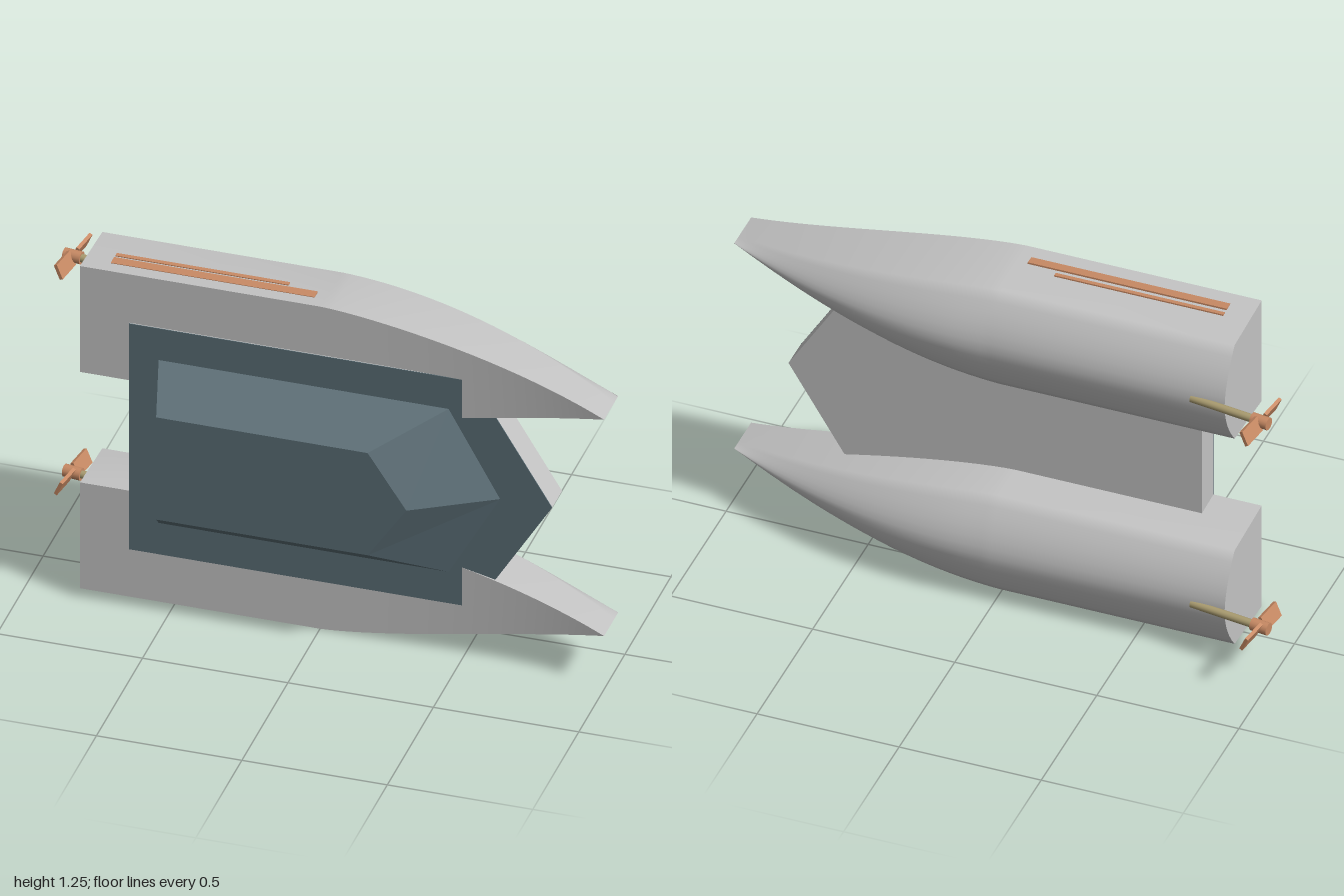
import * as THREE from 'three';
import { mergeGeometries } from 'three/addons/utils/BufferGeometryUtils.js';

const MID = 0.6265;      // mirror plane between the two hulls
const HULL = 0.419;      // hull centre distance from that plane

const mat = (name, color) => {
  const m = new THREE.MeshStandardMaterial({ color });
  m.name = name;
  return m;
};

const mesh = (name, geometry, material) => {
  const m = new THREE.Mesh(geometry, material);
  m.name = name;
  return m;
};

function indexed(points, index) {
  const g = new THREE.BufferGeometry();
  g.setAttribute('position', new THREE.Float32BufferAttribute(points.flat(), 3));
  g.setIndex(index);
  g.computeVertexNormals();
  return g;
}

// Hull cross-section at x: gunwale, chine, rounded bottom, chine, gunwale
function section(x) {
  const t = Math.max(0, x), s = Math.max(0, (x - 0.1) / 0.9);
  const half = 0.205 * (1 - Math.pow(t, 1.4));
  const deck = 0.153 + 0.072 * Math.pow(t, 3.5);
  const keel = -0.181 + 0.253 * s * s;
  const chine = keel + 0.27 * (deck - keel);
  const pts = [[x, half, deck]];
  for (let k = 6; k >= -6; k--) {
    const u = k / 6;
    pts.push([x, half * 0.93 * u, keel + (chine - keel) * Math.pow(Math.abs(u), 1.8)]);
  }
  pts.push([x, -half, deck]);
  return pts;
}

function hullGeometry() {
  const xs = [-0.825, -0.4];
  for (let i = 0; i <= 28; i++) xs.push(i / 28);
  const rows = xs.map(section), n = rows[0].length;
  const skin = [], deck = [], transom = [];
  for (let i = 0; i < rows.length - 1; i++) {
    for (let j = 0; j < n - 1; j++) {
      const a = i * n + j, b = a + n;
      skin.push(a, b, a + 1, b, b + 1, a + 1);
    }
    const d = i * 2;
    deck.push(d + 1, d + 3, d, d + 3, d + 2, d);
  }
  for (let j = 1; j < n - 1; j++) transom.push(0, j, j + 1);
  return mergeGeometries([
    indexed(rows.flat(), skin),
    indexed(rows.flatMap(r => [r[0], r[n - 1]]), deck),
    indexed(rows[0], transom),
  ]);
}

// Symmetric five-sided outline: stern, shoulder and nose x, with half width
const outline = (stern, shoulder, nose, half) =>
  [[stern, -half], [shoulder, -half], [nose, 0], [shoulder, half], [stern, half]];

function prism(points, z, depth) {
  const shape = new THREE.Shape(points.map(p => new THREE.Vector2(...p)));
  return new THREE.ExtrudeGeometry(shape, { depth, bevelEnabled: false }).translate(0, 0, z);
}

// Faceted block between two outlines
function loft(base, top, z0, z1) {
  const n = base.length, idx = [];
  const pts = [...base.map(p => [...p, z0]), ...top.map(p => [...p, z1])];
  for (let i = 0; i < n; i++) {
    const j = (i + 1) % n;
    idx.push(i, j, n + i, j, n + j, n + i);
  }
  for (let i = 1; i < n - 1; i++) idx.push(n, n + i, n + i + 1, 0, i + 1, i);
  const g = indexed(pts, idx).toNonIndexed();
  g.computeVertexNormals();
  return g;
}

export function createModel() {
  const grey = mat('hullGrey', 0xc4c4c4);
  const slate = mat('slateBlue', 0x5a6d75);
  const copper = mat('copper', 0xc88a64);
  const brass = mat('brass', 0xaa9c70);

  const model = new THREE.Group();
  model.name = 'catamaran';
  const boat = new THREE.Group();
  boat.name = 'boat';
  boat.position.y = MID;
  model.add(boat);

  // Bridge deck and cabin
  const deckOutline = outline(-0.655, 0.53, 0.8, 0.437);
  boat.add(mesh('bridgeDeck', prism(deckOutline, 0.05, 0.106), grey));
  boat.add(mesh('deckCovering', prism(deckOutline, 0.156, 0.003), slate));
  boat.add(mesh('cabin', loft(
    outline(-0.553, 0.447, 0.625, 0.317),
    outline(-0.51, 0.217, 0.35, 0.198), 0.157, 0.32), slate));

  // One hull with its stripes and drive, mirrored for the other side
  const hullShape = hullGeometry();
  for (const side of [1, -1]) {
    const float = new THREE.Group();
    float.name = side > 0 ? 'upperFloat' : 'lowerFloat';
    float.position.y = side * HULL;
    float.scale.y = side;
    boat.add(float);
    float.add(mesh('hull', hullShape, grey));

    // Stripes on the outer side
    for (const [x0, x1, z, w] of [[-0.735, -0.035, 0.084, 0.034], [-0.735, -0.14, 0.044, 0.016]]) {
      const stripe = mesh('stripe', new THREE.BoxGeometry(x1 - x0, 0.008, w), copper);
      stripe.position.set((x0 + x1) / 2, 0.205 - (0.153 - z) * 0.059, z);
      stripe.rotation.x = 0.059;
      float.add(stripe);
    }

    // Drive: local x runs along the sloping shaft, origin at the hub
    const drive = new THREE.Group();
    drive.name = 'drive';
    drive.position.set(-0.963, 0, -0.21);
    drive.rotation.y = -0.14;
    float.add(drive);
    const shaft = mesh('shaft', new THREE.CylinderGeometry(0.014, 0.014, 0.25, 16).rotateZ(Math.PI / 2), brass);
    shaft.position.x = 0.135;
    drive.add(shaft);
    drive.add(mesh('hub', new THREE.CylinderGeometry(0.022, 0.022, 0.062, 16).rotateZ(Math.PI / 2), copper));
    for (const s of [1, -1]) {
      const blade = mesh('blade', new THREE.BoxGeometry(0.012, 0.054, 0.1), copper);
      blade.position.z = s * 0.063;
      blade.rotation.z = -s * -0.42;
      drive.add(blade);
    }
  }
  return model;
}
